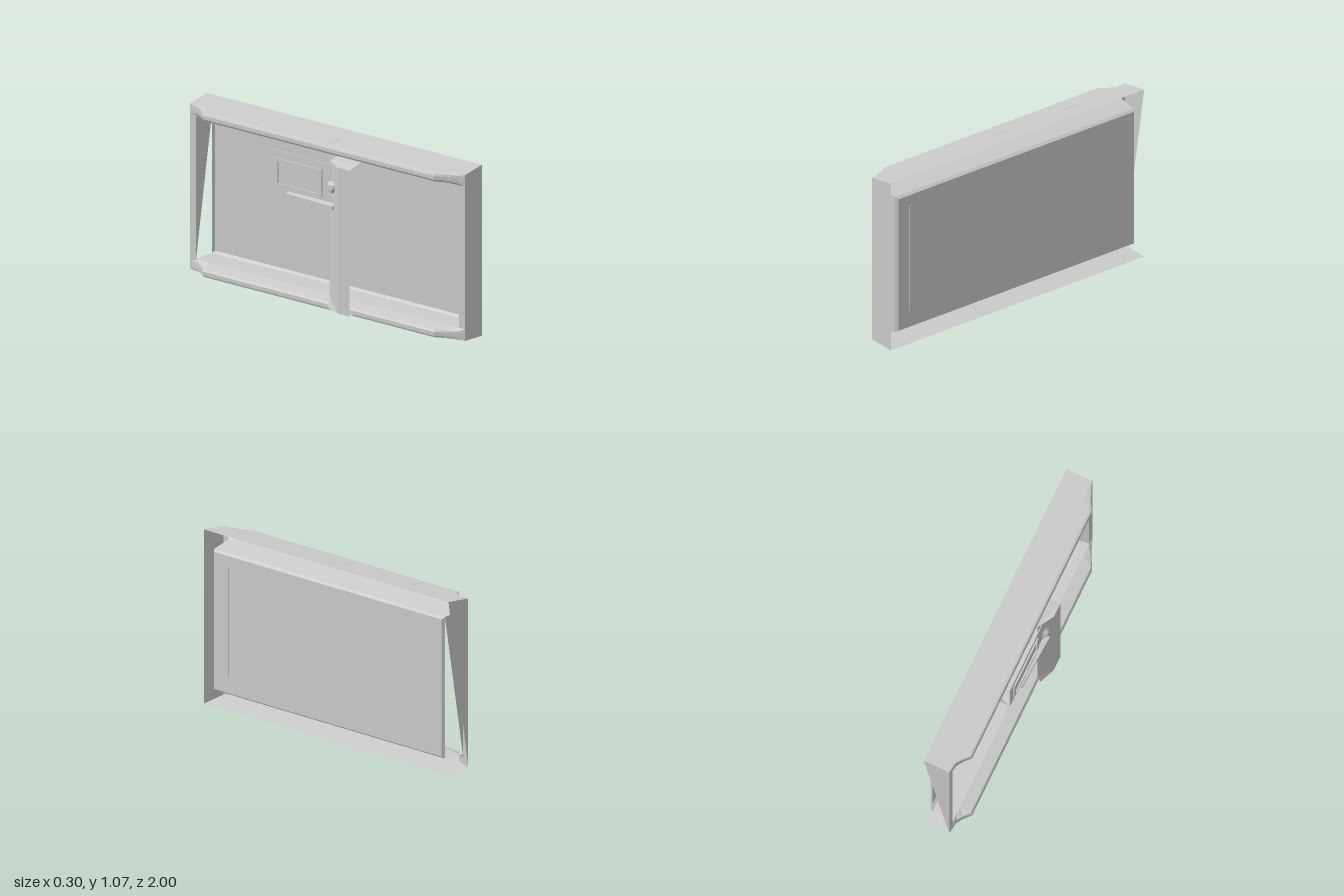
import * as THREE from 'three';

const grey = new THREE.MeshStandardMaterial({ color: 0xcbcbcb, flatShading: true, side: THREE.DoubleSide });
grey.name = 'plain grey';

function add(parent, name, geometry) {
  const mesh = new THREE.Mesh(geometry, grey);
  mesh.name = name;
  parent.add(mesh);
  return mesh;
}

// Polygons given as lists of [x, y, z] corners, fanned into triangles
function faces(polys) {
  const out = [];
  for (const p of polys) {
    for (let i = 1; i < p.length - 1; i++) out.push(...p[0], ...p[i], ...p[i + 1]);
  }
  const g = new THREE.BufferGeometry();
  g.setAttribute('position', new THREE.Float32BufferAttribute(out, 3));
  g.computeVertexNormals();
  return g;
}

// Skin between successive cross-sections with equal point counts
function loft(sections, closed = true, skip = []) {
  const polys = [];
  for (let s = 0; s < sections.length - 1; s++) {
    const a = sections[s], b = sections[s + 1], n = a.length;
    for (let i = 0; i < (closed ? n : n - 1); i++) {
      const j = (i + 1) % n;
      if (!skip.includes(i)) polys.push([a[i], a[j], b[j], b[i]]);
    }
  }
  return polys;
}

// Rectangular loop in the yz plane; sides are bottom, +z end, top, -z end
const loop = (x, y0, y1, z) => [[x, y0, -z], [x, y0, z], [x, y1, z], [x, y1, -z]];
const box = (x0, x1, y0, y1, z0, z1) =>
  new THREE.BoxGeometry(x1 - x0, y1 - y0, z1 - z0).translate((x0 + x1) / 2, (y0 + y1) / 2, (z0 + z1) / 2);

export function createModel() {
  const model = new THREE.Group();
  model.name = 'framedTray';

  const front = loop(0.15, 0, 1.07, 1);
  const back = loop(-0.015, 0.018, 1.055, 1);
  const lip = loop(-0.015, 0.088, 0.982, 0.956);
  const edge = loop(0.12, 0.09, 0.957, 0.942);
  const panel = loop(0.138, 0.102, 0.945, 0.93);

  // Walls: the -z end is only a triangle on both skins
  add(model, 'outerWall', faces([...loft([front, back], true, [3]), [front[3], back[3], back[0]]]));
  add(model, 'endRims', faces(loft([back, lip], true, [0, 2])));
  add(model, 'innerWall', faces([...loft([lip, edge], true, [3]), [edge[3], lip[3], lip[0]]]));
  add(model, 'panel', faces([...loft([edge, panel]), panel]));

  // Slim upright strip on the panel
  add(model, 'panelStrip', box(0.136, 0.141, 0.2, 0.88, 0.81, 0.84));

  // Hollow rails closing the top and bottom of the back, tapering at both ends
  const rail = (top) => {
    const stations = [[-1, 0], [-0.93, 0.15], [-0.89, 0.5], [-0.85, 1], [0.83, 1], [0.88, 0.65], [0.95, 0.25], [1, 0]];
    const profile = [[0, 1.055], [0.06, 1.05], [0.073, 1.046], [0.078, 1.035], [0.078, 1.012], [0.07, 0.999], [0, 0.982]];
    return faces(loft(stations.map(([z, k]) => profile.map(([d, y]) =>
      [-0.015 - d * k, top ? y : 1.071 - y, z])), false));
  };
  add(model, 'topRail', rail(true));
  add(model, 'bottomRail', rail(false));

  // Square tabs on the top
  for (const z of [-0.545, 0.01]) {
    const tab = add(model, 'topTab', new THREE.BoxGeometry(0.09, 0.006, 0.105));
    tab.position.set(-0.015, 1.053, z);
    tab.rotation.z = 0.09;
  }

  // Upright post with a sloped side, open towards +z and the tray
  const post = [[0.045, -0.11], [0.11, -0.09], [0.955, -0.09]].map(([y, x]) =>
    [[-0.15, y, 0.26], [-0.15, y, 0.17], [x, y, 0.07]]);
  const foot = [[-0.15, 0.045, 0.26], [-0.15, 0.045, 0.17], [-0.11, 0.045, 0.07], [-0.11, 0.045, 0.26]];
  add(model, 'post', faces([...loft(post, false), foot]));
  add(model, 'postTopLink', faces([
    [[-0.15, 0.955, 0.26], [-0.09, 0.97, 0.26], [-0.09, 0.96, 0.07], [-0.15, 0.955, 0.17]],
    [[-0.09, 0.97, 0.26], [-0.015, 0.977, 0.26], [-0.015, 0.967, 0.07], [-0.09, 0.96, 0.07]],
  ]));

  // Bracket plate beside the post with a raised frame
  const bracket = new THREE.Group();
  bracket.name = 'bracket';
  model.add(bracket);
  add(bracket, 'bracketPlate', box(-0.108, -0.102, 0.675, 0.945, -0.35, 0.1));
  const outline = new THREE.Shape([[-0.31, 0.73], [0.03, 0.73], [0.03, 0.9], [-0.31, 0.9]]
    .map(([u, v]) => new THREE.Vector2(u, v)));
  outline.holes.push(new THREE.Path([[-0.29, 0.745], [-0.29, 0.885], [0.01, 0.885], [0.01, 0.745]]
    .map(([u, v]) => new THREE.Vector2(u, v))));
  const frame = new THREE.ExtrudeGeometry(outline, { depth: 0.009, bevelEnabled: false });
  add(bracket, 'bracketFrame', frame.rotateY(-Math.PI / 2).translate(-0.108, 0, 0));

  // Handle bar and round peg
  const bar = (z, x) => [[-0.108, 0.678, z], [x, 0.678, z], [x, 0.7, z], [-0.108, 0.708, z]];
  const bars = [bar(-0.22, -0.125), bar(0.13, -0.142)];
  add(bracket, 'handleBar', faces([...loft(bars), ...bars]));
  add(bracket, 'peg', new THREE.CylinderGeometry(0.014, 0.014, 0.075, 10).rotateZ(Math.PI / 2).translate(-0.095, 0.812, 0.12));
  add(bracket, 'pegBase', new THREE.CylinderGeometry(0.02, 0.04, 0.025, 8).rotateZ(Math.PI / 2).translate(-0.13, 0.812, 0.11));

  // Flat gusset from the bracket's edge to the panel
  add(bracket, 'gusset', faces([[[-0.105, 0.675, -0.35], [0.02, 0.815, -0.35], [0.135, 0.675, -0.35]]]));

  return model;
}
